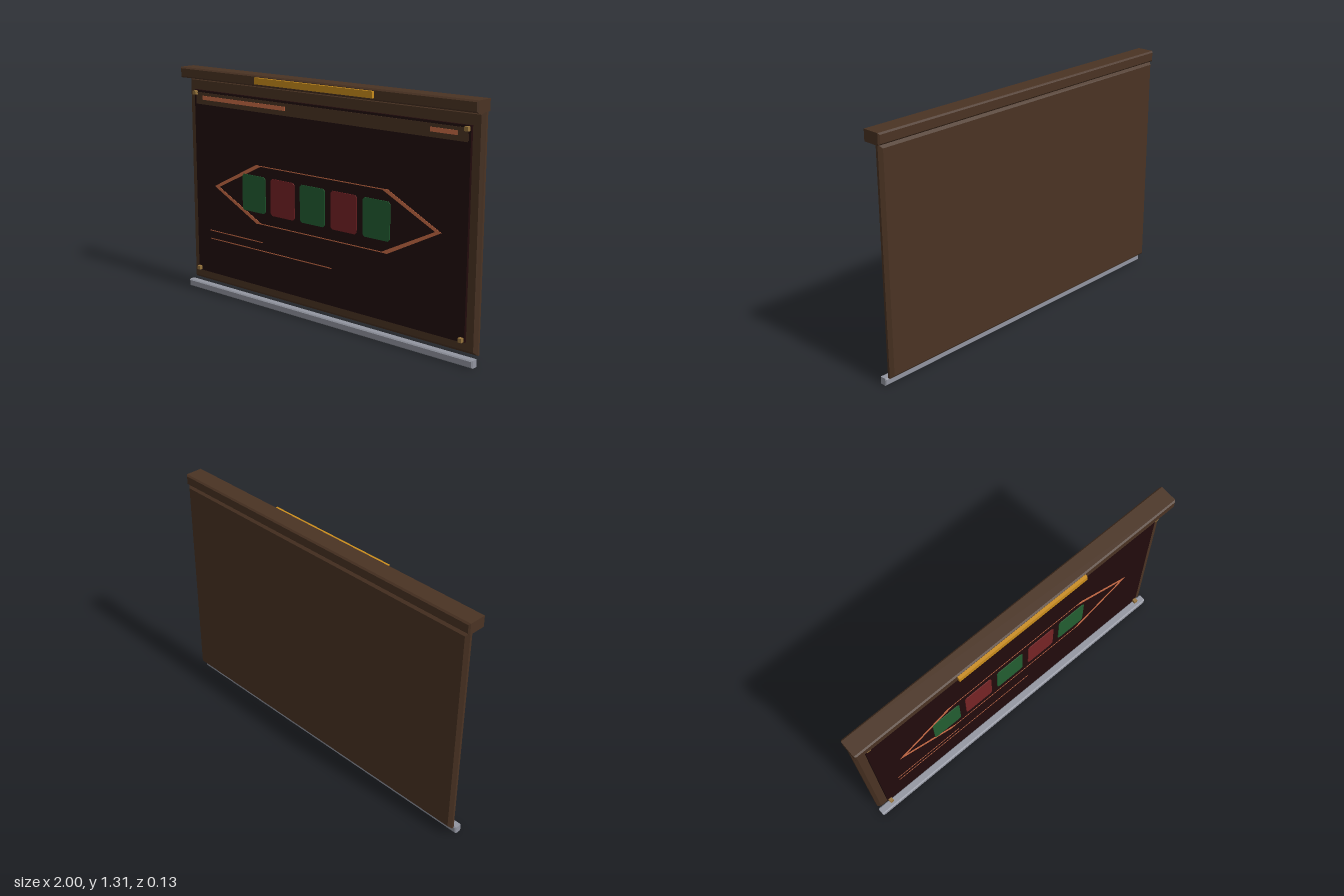
import * as THREE from 'three';

const paint = (name, color) => {
  const m = new THREE.MeshStandardMaterial({ color });
  m.name = name;
  return m;
};

export function createModel() {
  const wood = paint('brown wood', 0x4a3323);
  const dark = paint('dark screen', 0x210b0c);
  const gold = paint('gold', 0xc98c1c);
  const brass = paint('brass', 0x96733c);
  const steel = paint('grey metal', 0x9295a0);
  const orange = paint('orange line', 0xcb6c46);
  const green = paint('green tile', 0x225d31);
  const red = paint('red tile', 0x762325);

  const model = new THREE.Group();
  model.name = 'displayBoard';

  const add = (name, geometry, material, parent = model) => {
    const mesh = new THREE.Mesh(geometry, material);
    mesh.name = name;
    parent.add(mesh);
    return mesh;
  };

  // Box given by its limits, with chamfered edges of size c
  const bevelBox = (x0, x1, y0, y1, z0, z1, c) => {
    const s = new THREE.Shape();
    s.moveTo(x0 + c, y0 + c);
    s.lineTo(x1 - c, y0 + c);
    s.lineTo(x1 - c, y1 - c);
    s.lineTo(x0 + c, y1 - c);
    const g = new THREE.ExtrudeGeometry(s, {
      depth: z1 - z0 - 2 * c, bevelEnabled: true, bevelSize: c, bevelThickness: c, bevelSegments: 1,
    });
    return g.translate(0, 0, z0 + c);
  };

  const box = (x0, x1, y0, y1, z0, z1) =>
    new THREE.BoxGeometry(x1 - x0, y1 - y0, z1 - z0)
      .translate((x0 + x1) / 2, (y0 + y1) / 2, (z0 + z1) / 2);

  // Thin plate from outline points, lying on the screen
  const plate = (points, z0, depth) =>
    new THREE.ExtrudeGeometry(new THREE.Shape(points.map(([x, y]) => new THREE.Vector2(x, y))),
      { depth, bevelEnabled: false }).translate(0, 0, z0);

  // Main body
  add('backPanel', bevelBox(-0.995, 0.995, 0.05, 1.25, -0.062, -0.015, 0.017), wood);
  add('headerBeam', bevelBox(-1, 1, 1.248, 1.308, -0.062, 0.048, 0.008), wood);
  add('goldBar', box(-0.4, 0.4, 1.262, 1.297, 0.04, 0.065), gold);
  add('bottomRail', bevelBox(-1, 1, 0, 0.04, -0.021, 0.024, 0.006), steel);
  add('screen', box(-0.935, 0.935, 0.11, 1.18, -0.02, 0), dark);

  // Corner pins
  for (const x of [-0.92, 0.92]) {
    for (const y of [0.125, 1.165]) {
      add('cornerPin', box(x - 0.011, x + 0.011, y - 0.011, y + 0.011, -0.005, 0.021), brass);
    }
  }

  // Title strip with its two dashes
  add('titleStrip', box(-0.92, 0.92, 1.1, 1.168, -0.001, 0.002), wood);
  add('titleDash', box(-0.87, -0.235, 1.127, 1.15, 0.001, 0.004), orange);
  add('titleDash', box(0.705, 0.86, 1.127, 1.15, 0.001, 0.004), orange);

  // Arrow outline: mirrored chevrons joined by thin lines
  const outline = new THREE.Group();
  outline.name = 'arrowOutline';
  model.add(outline);
  const mid = 0.637;
  const chevron = [
    [0.785, mid], [0.455, mid + 0.168], [0.415, mid + 0.165], [0.748, mid],
    [0.415, mid - 0.165], [0.455, mid - 0.168],
  ];
  add('rightChevron', plate(chevron, 0, 0.002), orange, outline);
  add('leftChevron', plate(chevron.map(([x, y]) => [-x, y]).reverse(), 0, 0.002), orange, outline);
  for (const y of [mid - 0.164, mid + 0.164]) {
    add('joiningLine', box(-0.43, 0.43, y - 0.0025, y + 0.0025, 0, 0.0015), orange, outline);
  }

  // Row of tiles with clipped corners
  const w = 0.0875, h = 0.104, c = 0.012;
  const tile = plate([
    [-w + c, -h], [w - c, -h], [w, -h + c], [w, h - c],
    [w - c, h], [-w + c, h], [-w, h - c], [-w, -h + c],
  ], 0, 0.004);
  for (let i = 0; i < 5; i++) {
    add('tile', tile, i % 2 ? red : green).position.set(-0.473 + 0.215 * i, 0.639, 0);
  }

  // Thin lines below
  add('lowerLine', box(-0.83, -0.41, 0.365, 0.37, 0, 0.0015), orange);
  add('lowerLine', box(-0.83, 0.09, 0.316, 0.321, 0, 0.0015), orange);

  return model;
}
